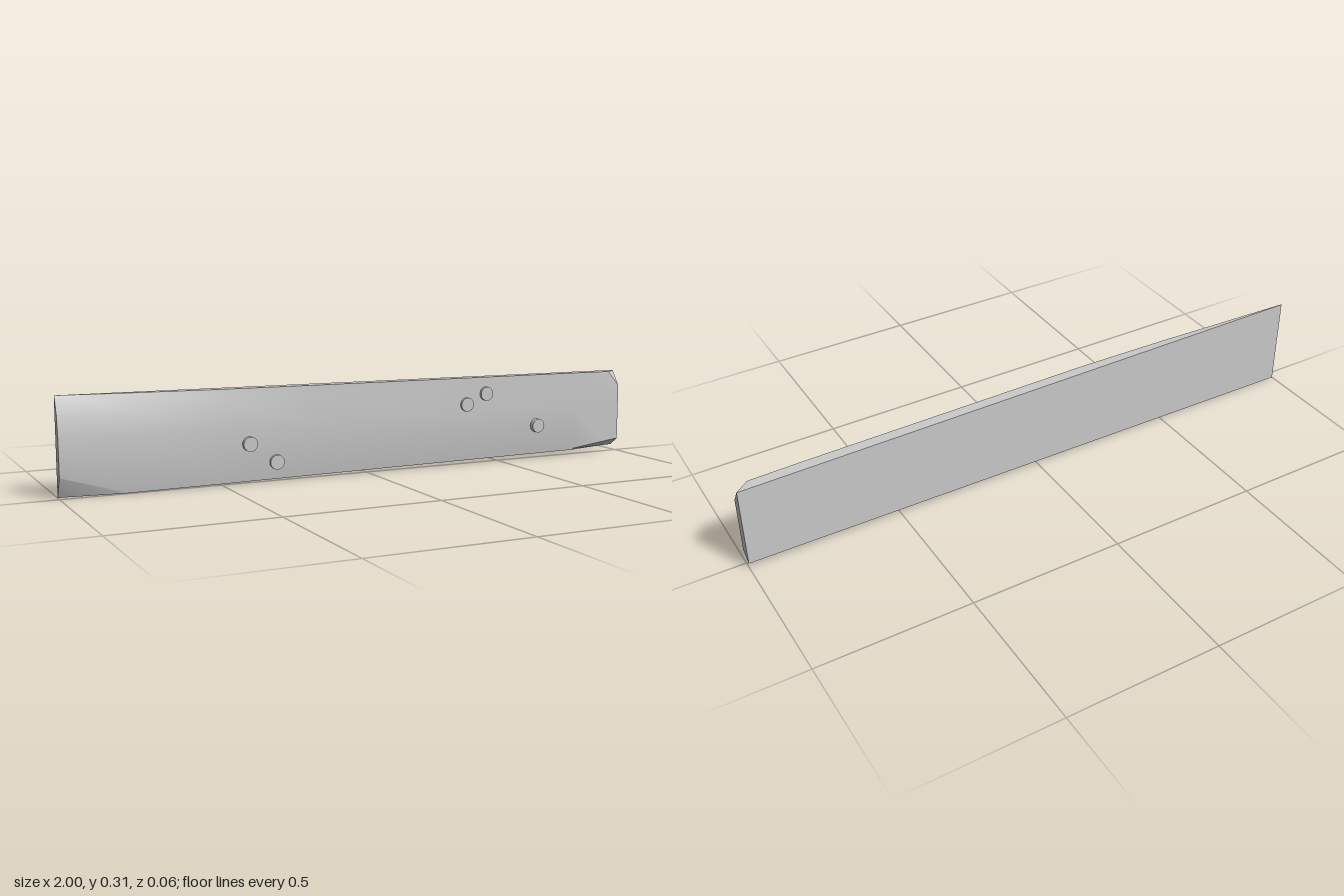
import * as THREE from 'three';
import { toCreasedNormals } from 'three/addons/utils/BufferGeometryUtils.js';

const BACK = -0.027;

// Cross-sections along x: [x, then (y, z) of top edge, shoulder, middle, lower front, bottom edge]
const SECTIONS = [
  [-1.0, 0.305, -0.025, 0.25, -0.003, 0.18, 0.006, 0.065, 0.007, 0.001, -0.024],
  [-0.8, 0.302, -0.014, 0.25, 0.003, 0.18, 0.009, 0.007, 0.01, 0.003, 0.009],
  [-0.5, 0.299, 0.001, 0.26, 0.008, 0.18, 0.011, 0.009, 0.011, 0.005, 0.01],
  [-0.2, 0.297, 0.01, 0.27, 0.011, 0.18, 0.012, 0.011, 0.012, 0.008, 0.011],
  [0.8, 0.289, 0.011, 0.275, 0.011, 0.18, 0.012, 0.02, 0.012, 0.016, 0.011],
  [0.955, 0.287, 0.01, 0.28, 0.011, 0.18, 0.011, 0.039, 0.011, 0.017, -0.018],
  [1.0, 0.286, -0.025, 0.235, 0.01, 0.18, 0.01, 0.044, 0.01, 0.017, -0.025],
];

// Plank with worn edges and chipped corners, skinned through the sections
function plankGeometry() {
  const positions = [];
  const rings = SECTIONS.map(([x, ...p]) => {
    const ring = [
      [x, 0.009 + 0.009 * x, BACK],
      [x, 0.296 - 0.009 * x, BACK],
    ];
    for (let i = 0; i < p.length; i += 2) ring.push([x, p[i], p[i + 1]]);
    return ring;
  });
  const tri = (a, b, c) => positions.push(...a, ...b, ...c);
  const n = rings[0].length;
  for (let s = 0; s < rings.length - 1; s++) {
    const a = rings[s], b = rings[s + 1];
    for (let i = 0; i < n; i++) {
      const j = (i + 1) % n;
      tri(a[i], a[j], b[j]);
      tri(a[i], b[j], b[i]);
    }
  }
  // End caps
  const first = rings[0], last = rings[rings.length - 1];
  for (let i = 1; i < n - 1; i++) {
    tri(last[0], last[i], last[i + 1]);
    tri(first[0], first[i + 1], first[i]);
  }
  const geometry = new THREE.BufferGeometry();
  geometry.setAttribute('position', new THREE.Float32BufferAttribute(positions, 3));
  return toCreasedNormals(geometry, 0.4);
}

export function createModel() {
  const group = new THREE.Group();
  const material = new THREE.MeshStandardMaterial({ color: 0xcccccc });

  const plank = new THREE.Mesh(plankGeometry(), material);
  plank.name = 'plank';
  group.add(plank);

  // Nail heads: x, y and how far forward the head stands
  const nails = [
    [-0.41, 0.125, 0.025],
    [-0.32, 0.061, 0.021],
    [0.37, 0.203, 0.021],
    [0.445, 0.236, 0.021],
    [0.65, 0.114, 0.029],
  ];
  for (const [x, y, front] of nails) {
    const depth = front + 0.005;
    const nail = new THREE.Mesh(new THREE.CylinderGeometry(0.0235, 0.0235, depth, 20), material);
    nail.rotation.x = Math.PI / 2;
    nail.position.set(x, y, front - depth / 2);
    nail.name = 'nailHead';
    group.add(nail);
  }
  return group;
}
